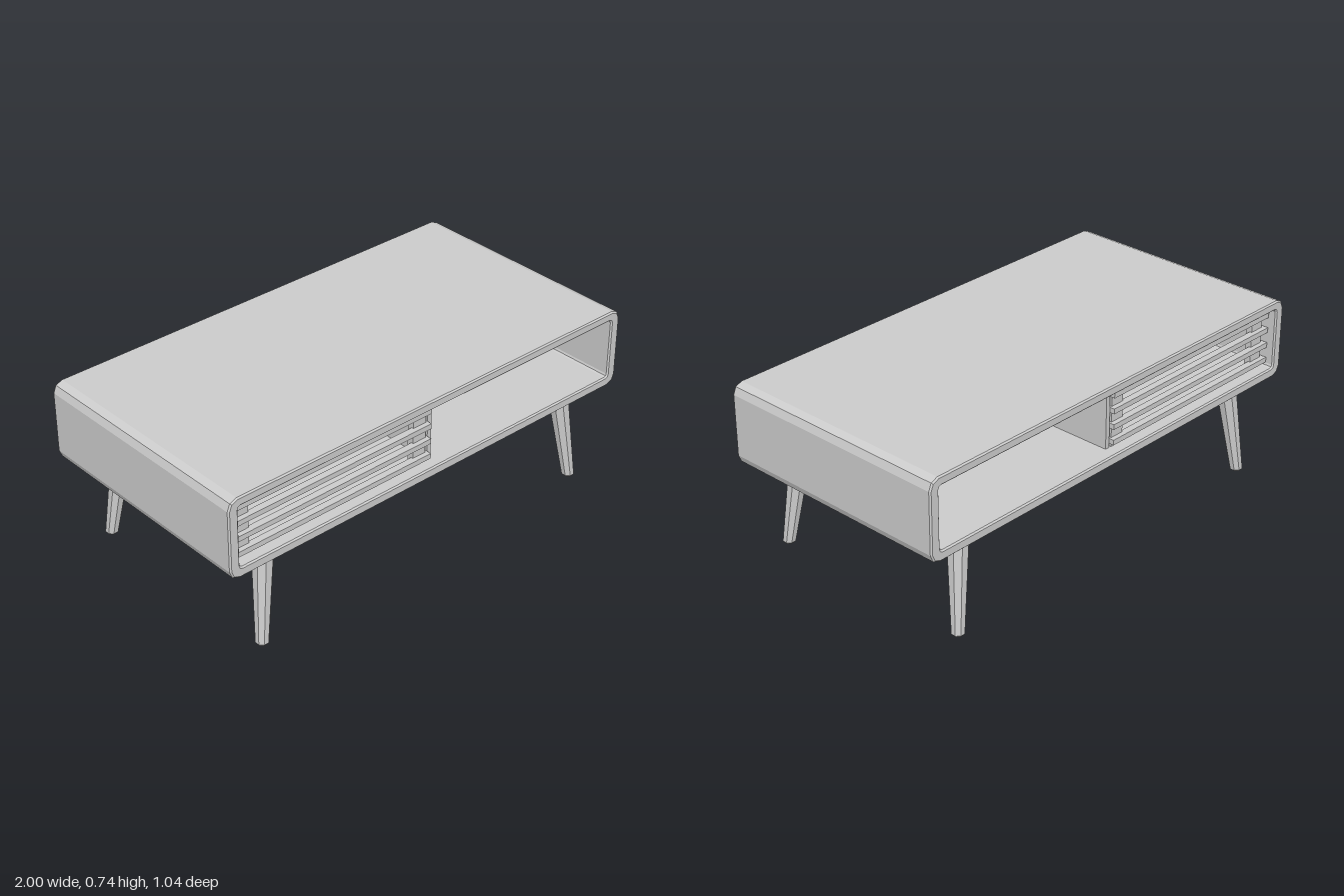
import * as THREE from 'three';

const material = new THREE.MeshStandardMaterial({ color: 0xcccccc, flatShading: true, side: THREE.DoubleSide });

// Rectangle whose corners are rounded with two facets each
function roundedRect(target, x0, y0, x1, y1, r) {
  const corners = [[x1 - r, y0 + r, -90], [x1 - r, y1 - r, 0], [x0 + r, y1 - r, 90], [x0 + r, y0 + r, 180]];
  const points = [];
  for (const [cx, cy, start] of corners) {
    for (let i = 0; i <= 2; i++) {
      const a = THREE.MathUtils.degToRad(start + 45 * i);
      points.push(new THREE.Vector2(cx + r * Math.cos(a), cy + r * Math.sin(a)));
    }
  }
  return target.setFromPoints(points);
}

function addMesh(parent, name, geometry, x = 0, y = 0, z = 0) {
  const mesh = new THREE.Mesh(geometry, material);
  mesh.name = name;
  mesh.position.set(x, y, z);
  parent.add(mesh);
  return mesh;
}

// Box given by its x, y and z ranges
function addBox(parent, name, [x0, x1], [y0, y1], [z0, z1]) {
  const geometry = new THREE.BoxGeometry(x1 - x0, y1 - y0, z1 - z0);
  return addMesh(parent, name, geometry, (x0 + x1) / 2, (y0 + y1) / 2, (z0 + z1) / 2);
}

// Eight-sided tapered leg, leaning outwards by shearing
function legGeometry(sx, sz) {
  const profile = [[0, 0], [0.02, 0], [0.027, 0.008], [0.044, 0.388], [0.04, 0.402], [0, 0.402]]
    .map(([r, y]) => new THREE.Vector2(r, y));
  const geometry = new THREE.LatheGeometry(profile, 8, Math.PI / 8);
  const p = geometry.attributes.position;
  for (let i = 0; i < p.count; i++) {
    const t = p.getY(i) / 0.4;
    p.setX(i, p.getX(i) + sx * (0.822 - 0.049 * t));
    p.setZ(i, p.getZ(i) + sz * (0.464 - 0.042 * t));
  }
  geometry.computeVertexNormals();
  return geometry;
}

export function createModel() {
  const model = new THREE.Group();
  model.name = 'coffeeTable';

  // Open cabinet sleeve with softened front and back rims
  const bevel = 0.006;
  const outline = roundedRect(new THREE.Shape(), -1, 0.4, 1, 0.742, 0.042);
  outline.holes.push(roundedRect(new THREE.Path(), -0.955, 0.442, 0.955, 0.703, 0.012));
  const sleeve = new THREE.ExtrudeGeometry(outline, {
    depth: 1.04 - 2 * bevel, bevelEnabled: true, bevelThickness: bevel,
    bevelSize: bevel, bevelOffset: -bevel, bevelSegments: 1,
  });
  sleeve.translate(0, 0, -0.52 + bevel);
  addMesh(model, 'cabinetShell', sleeve);

  // Partition between the slatted and the open compartment
  addBox(model, 'divider', [0, 0.02], [0.44, 0.705], [-0.465, 0.465]);

  // Slatted screens on the front and the back
  for (const side of [1, -1]) {
    const screen = new THREE.Group();
    screen.name = side > 0 ? 'frontScreen' : 'backScreen';
    const range = (a, b) => (side > 0 ? [a, b] : [-b, -a]);
    for (const y of [0.47, 0.537, 0.604, 0.671]) {
      addBox(screen, 'slat', [-0.95, 0], [y - 0.011, y + 0.011], range(0.457, 0.487));
    }
    for (const x of [-0.902, -0.042]) {
      addBox(screen, 'upright', [x - 0.032, x + 0.032], [0.44, 0.705], range(0.437, 0.466));
    }
    model.add(screen);
  }

  // Splayed legs
  for (const sx of [1, -1]) {
    for (const sz of [1, -1]) {
      addMesh(model, `${sz > 0 ? 'front' : 'back'}${sx > 0 ? 'Left' : 'Right'}Leg`, legGeometry(sx, sz));
    }
  }
  return model;
}
